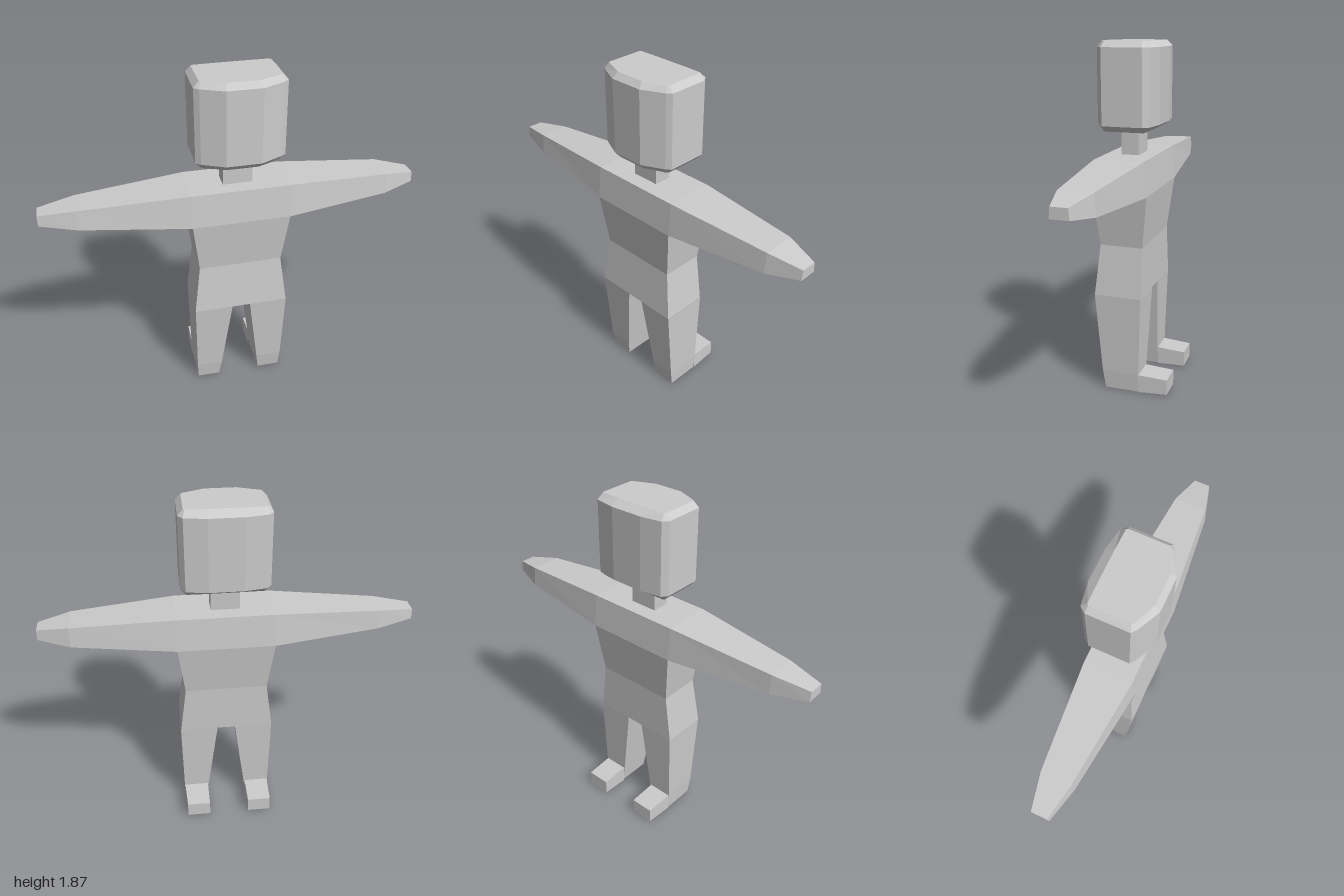
import * as THREE from 'three';

const material = new THREE.MeshStandardMaterial({ color: 0xcccccc, flatShading: true });
const CX = 0.021; // the body's centre line

// Skins cross-sections that run counter-clockwise about the loft direction.
function loft(name, rings, capStart = true, capEnd = true) {
  const pos = [];
  const tri = (a, b, c) => pos.push(...a, ...b, ...c);
  const n = rings[0].length;
  for (let r = 0; r < rings.length - 1; r++) {
    const a = rings[r], b = rings[r + 1];
    for (let i = 0; i < n; i++) {
      const j = (i + 1) % n;
      tri(a[i], a[j], b[j]);
      tri(a[i], b[j], b[i]);
    }
  }
  const first = rings[0], last = rings[rings.length - 1];
  for (let i = 1; i < n - 1; i++) {
    if (capStart) tri(first[0], first[i + 1], first[i]);
    if (capEnd) tri(last[0], last[i], last[i + 1]);
  }
  const geometry = new THREE.BufferGeometry();
  geometry.setAttribute('position', new THREE.Float32BufferAttribute(pos, 3));
  geometry.computeVertexNormals();
  const mesh = new THREE.Mesh(geometry, material);
  mesh.name = name;
  return mesh;
}

// Rectangular sections across y, x and z
const ringY = (y, x0, x1, z0, z1) => [[x0, y, z0], [x0, y, z1], [x1, y, z1], [x1, y, z0]];
const ringX = (x, y0, y1, b0, b1, t0, t1) => [[x, y0, b0], [x, y1, t0], [x, y1, t1], [x, y0, b1]];
const ringZ = (z, x0, x1, y0, y1) => [[x0, y0, z], [x1, y0, z], [x1, y1, z], [x0, y1, z]];

// Mirrors half of the head outline and sets it at height y
function headRing(y, half) {
  const left = half.map(([x, z]) => [CX - x, y, z]);
  const right = half.map(([x, z]) => [CX + x, y, z]).reverse();
  return [...left, ...right];
}

export function createModel() {
  const model = new THREE.Group();
  model.name = 'figure';

  // Head: bowed front, chamfered corners and bevelled rims
  const outer = [[0.09, -0.12], [0.205, -0.1], [0.23, -0.07], [0.23, 0.145], [0.205, 0.165], [0.09, 0.22]];
  const inner = [[0.09, -0.073], [0.195, -0.071], [0.202, -0.064], [0.202, 0.136], [0.195, 0.145], [0.08, 0.193]];
  model.add(loft('head', [
    headRing(1.42, inner), headRing(1.45, outer), headRing(1.84, outer), headRing(1.87, inner),
  ]));

  // Neck
  model.add(loft('neck', [ringY(1.28, -0.06, 0.095, 0, 0.095), ringY(1.43, -0.06, 0.095, 0, 0.095)]));

  // Shoulders and both outstretched arms
  model.add(loft('shouldersAndArms', [
    ringX(-1, 1.165, 1.22, -0.005, 0.09, 0, 0.085),
    ringX(-0.81, 1.14, 1.245, -0.047, 0.133, -0.04, 0.122),
    ringX(-0.24, 1.103, 1.283, -0.103, 0.194, -0.085, 0.178),
    ringX(0.28, 1.103, 1.283, -0.103, 0.194, -0.085, 0.178),
    ringX(0.83, 1.14, 1.25, -0.056, 0.138, -0.047, 0.128),
    ringX(1, 1.165, 1.22, -0.005, 0.09, 0, 0.085),
  ]));

  // Torso, narrowed at the waist
  model.add(loft('torso', [
    ringY(0.545, -0.24, 0.28, -0.07, 0.187),
    ringY(0.82, -0.205, 0.245, -0.07, 0.163),
    ringY(1.103, -0.24, 0.28, -0.103, 0.194),
  ], true, false));

  // Legs with feet
  for (const side of [-1, 1]) {
    const span = (a, b) => [CX + side * a, CX + side * b].sort((p, q) => p - q);
    const limb = new THREE.Group();
    limb.name = side > 0 ? 'leftLeg' : 'rightLeg';
    limb.add(loft('leg', [
      ringY(0, ...span(0.12, 0.246), -0.055, 0.135),
      ringY(0.1, ...span(0.107, 0.252), -0.055, 0.15),
      ringY(0.545, ...span(0.05, 0.26), -0.07, 0.187),
    ], true, false));
    const foot = loft('foot', [
      ringZ(-0.215, ...span(0.113, 0.244), 0.008, 0.093),
      ringZ(-0.055, ...span(0.113, 0.249), 0, 0.102),
    ], true, false);
    limb.add(foot);
    model.add(limb);
  }
  return model;
}
